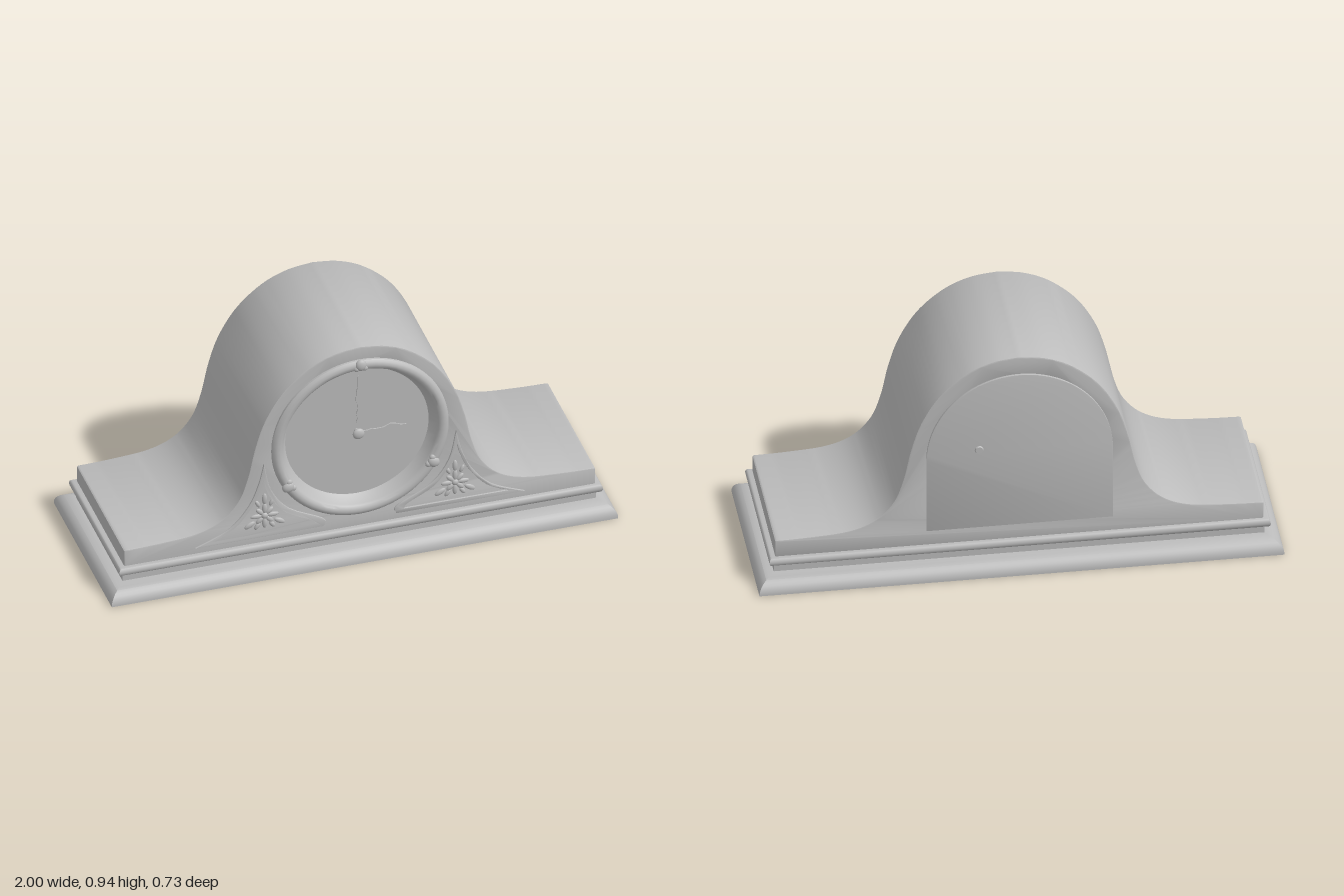
import * as THREE from 'three';
import { toCreasedNormals } from 'three/addons/utils/BufferGeometryUtils.js';

const casing = new THREE.MeshStandardMaterial({ color: 0xbbbbbb });
casing.name = 'casing grey';

const DIAL_Y = 0.535;

function part(name, geometry, parent, crease = 0.6) {
  const mesh = new THREE.Mesh(crease ? toCreasedNormals(geometry, crease) : geometry, casing);
  mesh.name = name;
  parent.add(mesh);
  return mesh;
}

// Mitred rectangular moulding; rows are [halfX, halfZ, y] from bottom to top
function rectLoft(rows) {
  const pos = [];
  const corners = ([x, z, y]) => [[x, y, z], [x, y, -z], [-x, y, -z], [-x, y, z]];
  const quad = (a, b, c, d) => pos.push(...a, ...b, ...c, ...a, ...c, ...d);
  for (let r = 0; r < rows.length - 1; r++) {
    const lo = corners(rows[r]), hi = corners(rows[r + 1]);
    for (let i = 0; i < 4; i++) {
      const j = (i + 1) % 4;
      quad(lo[i], lo[j], hi[j], hi[i]);
    }
  }
  quad(...corners(rows[0]).reverse());
  quad(...corners(rows[rows.length - 1]));
  const g = new THREE.BufferGeometry();
  g.setAttribute('position', new THREE.Float32BufferAttribute(pos, 3));
  return g;
}

const spline = (pts, n) =>
  new THREE.SplineCurve(pts.map(([x, y]) => new THREE.Vector2(x, y))).getPoints(n);

function plate(shape, depth, bevel, z) {
  const g = new THREE.ExtrudeGeometry(shape, {
    depth: depth - 2 * bevel, bevelEnabled: bevel > 0, bevelThickness: bevel,
    bevelSize: bevel, bevelOffset: -bevel, bevelSegments: 2, curveSegments: 48,
  });
  return g.translate(0, 0, z + bevel);
}

// Hump-backed case, open behind the dial
function buildCase(group) {
  const half = spline([[0.925, 0.2], [0.8, 0.204], [0.65, 0.217], [0.55, 0.256], [0.48, 0.33],
    [0.442, 0.43], [0.413, 0.56], [0.372, 0.68], [0.3, 0.795], [0.2, 0.882], [0.1, 0.926], [0, 0.94]], 60);
  const outline = [new THREE.Vector2(0.93, 0.125), new THREE.Vector2(0.93, 0.197), ...half];
  const mirrored = outline.slice(0, -1).reverse().map((p) => new THREE.Vector2(-p.x, p.y));
  const shape = new THREE.Shape([...outline, ...mirrored]);
  shape.holes.push(new THREE.Path().absarc(0, DIAL_Y, 0.315, 0, Math.PI * 2, true));
  part('case', plate(shape, 0.6, 0.005, -0.3), group);
}

function buildBase(group) {
  const foot = [[1, 0.367, 0], [1, 0.367, 0.004]];
  for (let i = 1; i <= 8; i++) {
    const a = (i / 8) * Math.PI / 2, inset = 0.068 * (1 - Math.cos(a));
    foot.push([1 - inset, 0.367 - inset, 0.004 + 0.056 * Math.sin(a)]);
  }
  part('foot', rectLoft(foot), group);
  part('plinth', rectLoft([[0.935, 0.294, 0.055], [0.935, 0.294, 0.105]]), group);

  const bead = [[0.94, 0.305, 0.096]];
  for (let i = 0; i <= 6; i++) {
    const a = -Math.PI / 2 + (i / 6) * Math.PI, out = 0.012 * Math.cos(a);
    bead.push([0.943 + out, 0.308 + out, 0.113 + 0.017 * Math.sin(a)]);
  }
  part('moulding', rectLoft(bead), group);
}

// Bezel, dial, hands and the three scroll clasps
function buildDial(parent) {
  const group = new THREE.Group();
  group.name = 'dialAssembly';
  group.position.y = DIAL_Y;
  parent.add(group);

  const profile = [[0.35, 0.298], [0.349, 0.308], [0.342, 0.316], [0.33, 0.32], [0.318, 0.318],
    [0.309, 0.311], [0.305, 0.303], [0.287, 0.266], [0.282, 0.262]];
  part('bezel', new THREE.LatheGeometry(profile.map(([r, z]) => new THREE.Vector2(r, z)), 72)
    .rotateX(Math.PI / 2), group);
  part('dial', new THREE.CircleGeometry(0.29, 72).translate(0, 0, 0.263), group);

  // Hands are drawn along +y as [halfWidth, distance], then turned
  const hand = (name, rows, angle, z) => {
    const right = rows.map(([w, y]) => new THREE.Vector2(w, y));
    const left = [...right].reverse().map((p) => new THREE.Vector2(-p.x, p.y));
    part(name, plate(new THREE.Shape([...right, ...left]), 0.005, 0, 0)
      .rotateZ(angle).translate(0, 0, z), group);
  };
  hand('minuteHand', [[0.003, 0], [0.003, 0.04], [0.008, 0.055], [0.003, 0.07], [0.008, 0.09],
    [0.003, 0.11], [0.004, 0.13], [0.01, 0.15], [0.008, 0.19], [0.003, 0.21], [0.001, 0.265]], 0, 0.279);
  hand('hourHand', [[0.003, 0], [0.003, 0.04], [0.007, 0.055], [0.003, 0.07], [0.004, 0.1],
    [0.016, 0.13], [0.012, 0.15], [0.003, 0.17], [0.001, 0.192]], -Math.PI / 2, 0.272);
  part('handSpindle', new THREE.CylinderGeometry(0.012, 0.012, 0.025, 16)
    .rotateX(Math.PI / 2).translate(0, 0, 0.274), group);
  part('handHub', new THREE.SphereGeometry(0.023, 20, 12).scale(1, 1, 0.5)
    .translate(0, 0, 0.285), group, 0);

  for (let i = 0; i < 3; i++) {
    const clasp = new THREE.Group();
    clasp.name = 'bezelClasp';
    clasp.rotation.z = i * Math.PI * 2 / 3;
    group.add(clasp);
    part('claspBoss', new THREE.SphereGeometry(0.022, 16, 10).scale(1, 1.1, 0.6)
      .translate(0, 0.332, 0.315), clasp, 0);
    for (const s of [-1, 1]) {
      part('claspScroll', new THREE.SphereGeometry(0.013, 12, 8).scale(1, 1, 0.7)
        .translate(s * 0.016, 0.318, 0.314), clasp, 0);
    }
  }
}

// Carved corner panel: a curved triangular frame around a flower spray
function buildSpandrel(parent, s) {
  const group = new THREE.Group();
  group.name = s > 0 ? 'leftSpandrel' : 'rightSpandrel';
  parent.add(group);

  const triangle = (outer, inner) => [...spline(outer, 16), ...spline(inner, 16)]
    .map((p) => new THREE.Vector2(s * p.x, p.y));
  const shape = new THREE.Shape(triangle(
    [[0.65, 0.157], [0.52, 0.215], [0.44, 0.305], [0.4, 0.4], [0.38, 0.485]],
    [[0.376, 0.47], [0.35, 0.36], [0.28, 0.265], [0.145, 0.192], [0.145, 0.157]]));
  shape.holes.push(new THREE.Path(triangle(
    [[0.585, 0.174], [0.5, 0.216], [0.428, 0.302], [0.394, 0.38], [0.382, 0.425]],
    [[0.378, 0.41], [0.36, 0.345], [0.295, 0.255], [0.19, 0.196], [0.175, 0.174]])));
  part('spandrelFrame', plate(shape, 0.01, 0.002, 0.297), group);

  const flower = new THREE.Group();
  flower.name = 'flower';
  flower.position.set(s * 0.376, 0.25, 0.3);
  group.add(flower);
  part('flowerCentre', new THREE.SphereGeometry(0.014, 14, 10).scale(1, 1, 0.8), flower, 0);
  const leaf = (name, angle, from, to, width) => part(name,
    new THREE.SphereGeometry(1, 12, 8).scale(width, (to - from) / 2, 0.007)
      .translate(0, (from + to) / 2, 0).rotateZ(angle), flower, 0);
  for (let i = 0; i < 8; i++) leaf('petal', i * Math.PI / 4, 0.008, i % 2 ? 0.046 : 0.056, 0.01);
  leaf('topLeaf', 0, 0.05, 0.1, 0.01);
  for (const m of [-1, 1]) {
    leaf('upperLeaf', m * 0.45, 0.045, 0.08, 0.008);
    leaf('sideLeaf', m * 2.1, 0.045, 0.092, 0.011);
    leaf('lowerLeaf', m * 2.55, 0.035, 0.07, 0.009);
  }
}

// Arched rear door with its small knob
function buildDoor(group) {
  const shape = new THREE.Shape();
  shape.moveTo(-0.355, 0.195);
  shape.lineTo(0.355, 0.195);
  shape.lineTo(0.355, 0.51);
  shape.absarc(0, 0.51, 0.355, 0, Math.PI, false);
  shape.closePath();
  part('rearDoor', plate(shape, 0.012, 0.001, -0.309), group);
  part('doorKnob', new THREE.CylinderGeometry(0.014, 0.018, 0.008, 16)
    .rotateX(-Math.PI / 2).translate(0.155, 0.543, -0.311), group);
}

export function createModel() {
  const model = new THREE.Group();
  model.name = 'mantelClock';
  buildBase(model);
  buildCase(model);
  buildDial(model);
  for (const s of [-1, 1]) buildSpandrel(model, s);
  buildDoor(model);
  return model;
}
